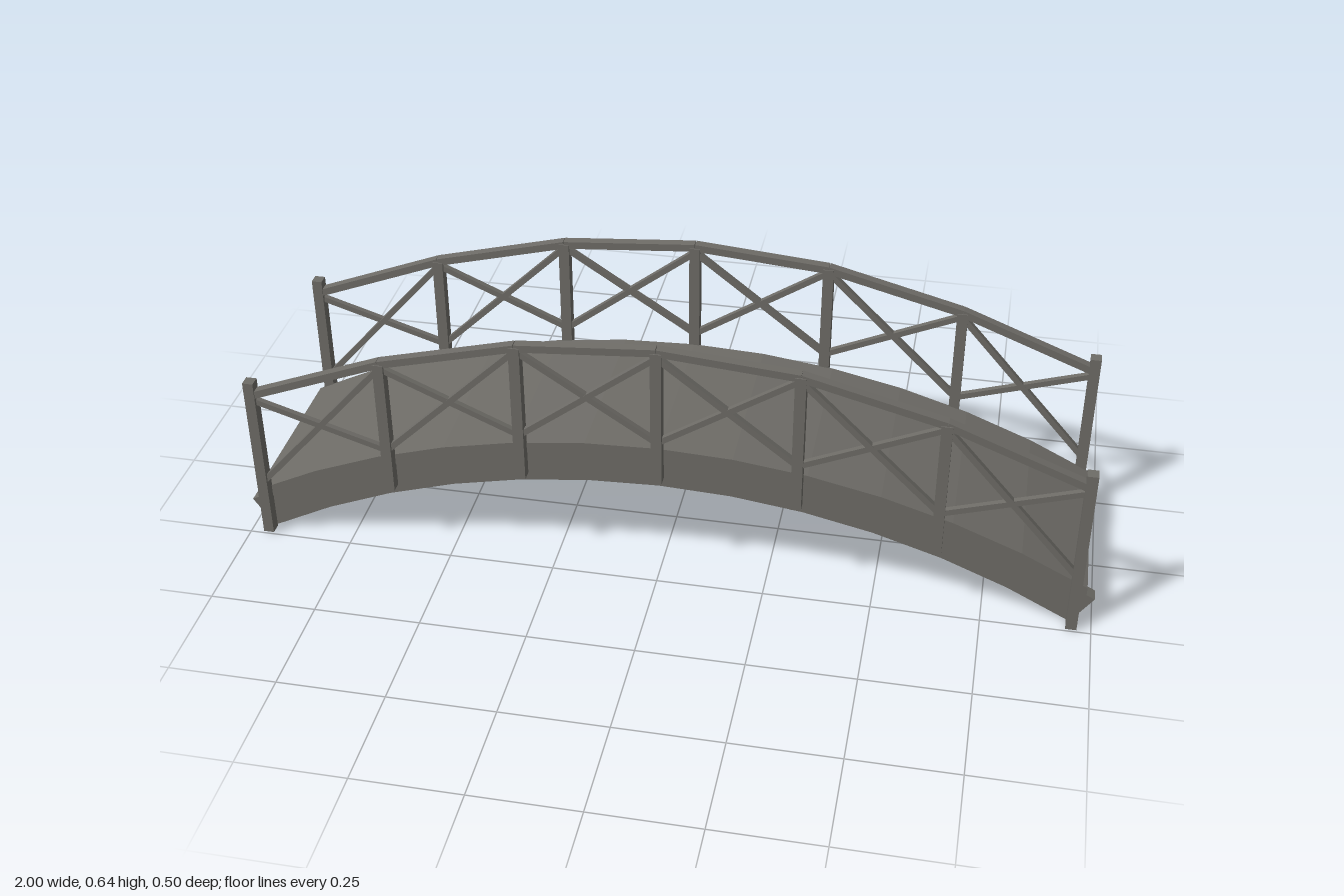
import * as THREE from 'three';

const material = new THREE.MeshStandardMaterial({ color: 0x6e6c67, flatShading: true });
const ARC_Y = -1.68; // height of the arch's centre of curvature
const RAIL_Z = 0.2345; // middle of each railing

function addMesh(parent, name, geometry) {
  const mesh = new THREE.Mesh(geometry, material);
  mesh.name = name;
  parent.add(mesh);
  return mesh;
}

// Faceted curved slab between two arcs, each given by radius and half length along x
function arcSlab(parent, name, inner, outer, z, depth, segments = 12) {
  const arc = ({ r, x }) => Array.from({ length: segments + 1 }, (_, i) => {
    const a = Math.asin(x / r) * (2 * i / segments - 1);
    return new THREE.Vector2(r * Math.sin(a), ARC_Y + r * Math.cos(a));
  });
  const shape = new THREE.Shape([...arc(inner), ...arc(outer).reverse()]);
  const geometry = new THREE.ExtrudeGeometry(shape, { depth, bevelEnabled: false });
  addMesh(parent, name, geometry.translate(0, 0, z - depth / 2));
}

// Straight bar between two points in the railing plane
function bar(parent, name, [x1, y1], [x2, y2], height, depth) {
  const length = Math.hypot(x2 - x1, y2 - y1);
  const mesh = addMesh(parent, name, new THREE.BoxGeometry(length, height, depth));
  mesh.position.set((x1 + x2) / 2, (y1 + y2) / 2, 0);
  mesh.rotation.z = Math.atan2(y2 - y1, x2 - x1);
}

// Heights at each post, from the middle outwards
const stations = [
  { x: 0, bottom: 0.278, top: 0.625, rail: 0.626, upper: 0.61, lower: 0.385 },
  { x: 0.318, bottom: 0.25, top: 0.602, rail: 0.6, upper: 0.59, lower: 0.365 },
  { x: 0.637, bottom: 0.172, top: 0.518, rail: 0.518, upper: 0.505, lower: 0.28 },
  { x: 0.955, bottom: 0.003, top: 0.43, rail: 0.394, upper: 0.38, lower: 0.145 },
];

function createRailing() {
  const railing = new THREE.Group();
  railing.name = 'railing';
  for (const side of [-1, 1]) {
    stations.forEach((s, i) => {
      // Posts, with the middle one built once
      if (i > 0 || side > 0) {
        const post = addMesh(railing, 'post', new THREE.BoxGeometry(0.025, s.top - s.bottom, 0.027));
        post.position.set(side * s.x, (s.top + s.bottom) / 2, 0);
      }
      // Handrail and crossed braces of the bay beyond this post
      const n = stations[i + 1];
      if (!n) return;
      const a = side * s.x, b = side * n.x;
      bar(railing, 'handrail', [a, s.rail], [b, n.rail], 0.018, 0.022);
      bar(railing, 'brace', [a, s.upper], [b, n.lower], 0.014, 0.014);
      bar(railing, 'brace', [a, s.lower], [b, n.upper], 0.014, 0.013);
    });
  }
  return railing;
}

export function createModel() {
  const bridge = new THREE.Group();
  bridge.name = 'archedFootbridge';

  // Walking surface with upright ends
  arcSlab(bridge, 'deck', { r: 2.013, x: 0.98 }, { r: 2.039, x: 0.98 }, 0, 0.447);

  for (const side of [-1, 1]) {
    // Curved support beam under each edge, cut square at the ends
    arcSlab(bridge, 'beam', { r: 1.93, x: 0.951 }, { r: 2.016, x: 1 }, side * 0.198, 0.033);

    const railing = createRailing();
    railing.position.z = side * RAIL_Z;
    bridge.add(railing);
  }
  return bridge;
}
